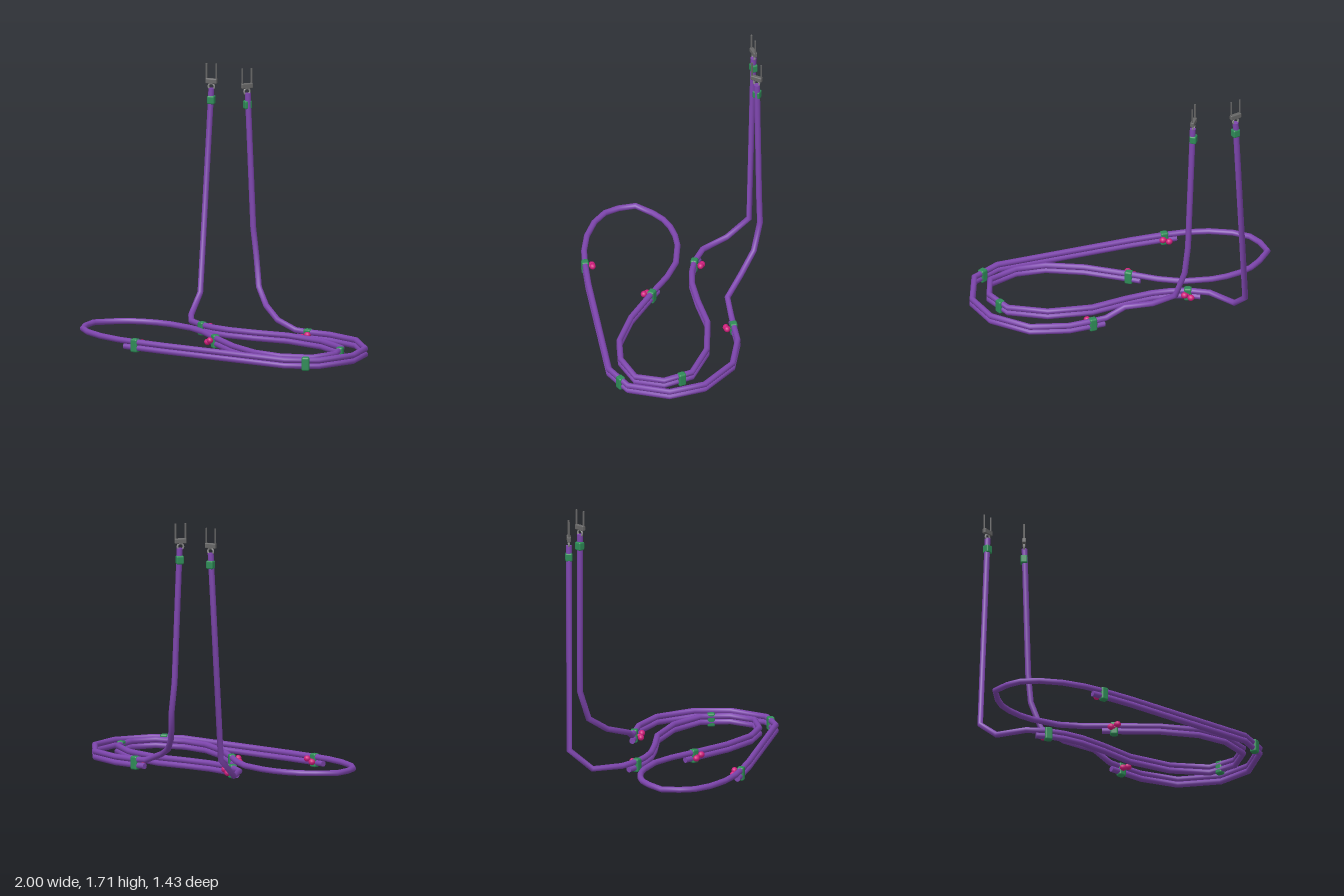
import * as THREE from 'three';
import { RoundedBoxGeometry } from 'three/addons/geometries/RoundedBoxGeometry.js';

const mat = (name, color) => {
  const m = new THREE.MeshStandardMaterial({ color });
  m.name = name;
  return m;
};

// Polyline whose samples land exactly on its corner points
class Polyline extends THREE.Curve {
  constructor(points) {
    super();
    this.points = points;
  }
  getPoint(t, target = new THREE.Vector3()) {
    const n = this.points.length - 1;
    const i = Math.min(Math.floor(t * n + 1e-6), n - 1);
    return target.lerpVectors(this.points[i], this.points[i + 1], t * n - i);
  }
  getPointAt(u, target) { return this.getPoint(u, target); }
  getTangentAt(u, target = new THREE.Vector3()) {
    const p = this.points, n = p.length - 1, i = Math.round(u * n);
    target.set(0, 0, 0);
    if (i > 0) target.add(p[i].clone().sub(p[i - 1]).normalize());
    if (i < n) target.add(p[i + 1].clone().sub(p[i]).normalize());
    return target.normalize();
  }
}

const R = 0.0195, UPPER = 0.067, LOWER = 0.03;

// Ground plan of the rope, split where the doubled runs begin and end [x, z]
const innerRun = [[-0.265, -0.245], [-0.17, -0.19], [-0.05, -0.145], [0.13, -0.112], [0.37, -0.085],
  [0.64, 0.03], [0.83, 0.21], [0.845, 0.41], [0.74, 0.565], [0.53, 0.585], [0.34, 0.52],
  [0.14, 0.36], [-0.055, 0.135]];
const loop = [[-0.18, -0.02], [-0.3, -0.13], [-0.47, -0.21], [-0.57, -0.234], [-0.67, -0.24],
  [-0.76, -0.228], [-0.85, -0.19], [-0.965, -0.115], [-0.982, 0], [-0.968, 0.1], [-0.9, 0.2],
  [-0.78, 0.3], [-0.64, 0.375]];
const outerRun = [[-0.51, 0.42], [-0.3, 0.48], [0.6, 0.695], [0.81, 0.645], [0.97, 0.42],
  [0.98, 0.18], [0.84, -0.07], [0.62, -0.195], [0.46, -0.23]];
const at = (plan, y) => plan.map(([x, z]) => new THREE.Vector3(x, y, z));
const vec = (list) => list.map((p) => new THREE.Vector3(...p));

export function createModel() {
  const model = new THREE.Group();
  model.name = 'ropeHarness';
  const purple = mat('purple rope', 0x7d45ad);
  const green = mat('green clip', 0x2e8b57);
  const pink = mat('pink knob', 0xd01c7c);
  const grey = mat('grey metal', 0x666666);
  const steel = mat('light steel', 0x8a8a8a);

  const add = (parent, name, geo, material, x = 0, y = 0, z = 0) => {
    const m = new THREE.Mesh(geo, material);
    m.name = name;
    m.position.set(x, y, z);
    parent.add(m);
    return m;
  };

  // Rope with closed flat ends
  const rope = (name, points) => {
    const curve = new Polyline(points);
    add(model, name, new THREE.TubeGeometry(curve, points.length - 1, R, 12), purple);
    [[0, -1], [1, 1]].forEach(([u, s]) => {
      const p = curve.getPointAt(u);
      const cap = add(model, name + 'End', new THREE.CircleGeometry(R, 12), purple, p.x, p.y, p.z);
      cap.lookAt(p.clone().addScaledVector(curve.getTangentAt(u), s));
    });
  };

  rope('mainRope', [
    ...vec([[-0.345, 1.545, -0.69], [-0.42, 0.19, -0.69], [-0.435, UPPER, -0.54], [-0.37, UPPER, -0.345]]),
    ...at([...innerRun, ...loop, ...outerRun], UPPER),
    ...vec([[0.37, 0.072, -0.25], [0.24, 0.125, -0.275], [0.115, 0.185, -0.42], [0.025, 0.28, -0.545],
      [-0.01, 0.47, -0.602], [-0.033, 0.66, -0.605], [-0.07, 1.545, -0.605]]),
  ]);
  rope('innerLowerRope', at([[-0.325, -0.3], ...innerRun, [-0.105, 0.075]], LOWER));
  rope('outerLowerRope', at([[-0.59, 0.393], ...outerRun, [0.38, -0.247]], LOWER));

  // Clips that hold the upper and lower rope together: x, z, heading, knob side (0 = none)
  const clips = [
    [-0.265, -0.245, -0.6, -1], [0.46, -0.23, -0.2, 1], [-0.055, 0.135, -0.87, 1],
    [-0.51, 0.42, -0.27, -1], [0.842, 0.285, -1.5, 0], [0.73, 0.667, 0.23, 0],
  ];
  clips.forEach(([x, z, heading, side]) => {
    const clip = new THREE.Group();
    clip.name = 'ropeClip';
    clip.position.set(x, 0.045, z);
    clip.rotation.y = heading;
    model.add(clip);
    add(clip, 'clipBody', new RoundedBoxGeometry(0.052, 0.09, 0.047, 2, 0.012), green);
    if (!side) return;
    // Wing knob: short stem and two lobes
    const stem = add(clip, 'knobStem', new THREE.CylinderGeometry(0.01, 0.01, 0.03, 10), pink, 0, 0.003, side * 0.03);
    stem.rotation.x = Math.PI / 2;
    [-1, 1].forEach((s) => {
      const lobe = add(clip, 'knobLobe', new THREE.SphereGeometry(0.022, 12, 8), pink,
        s * 0.021, 0.004 + s * 0.009, side * 0.047);
      lobe.scale.set(1.05, 0.95, 0.95);
    });
  });

  // Hanging ends: collar, ring and two-pronged fork
  [[-0.345, -0.69, 0], [-0.07, -0.605, 0.72]].forEach(([x, z, turn], i) => {
    const end = new THREE.Group();
    end.name = i ? 'leftFork' : 'rightFork';
    end.position.set(x - (i ? 0.006 : 0), 0, z);
    end.rotation.y = turn;
    model.add(end);
    add(end, 'collar', new RoundedBoxGeometry(0.05, 0.056, 0.046, 2, 0.01), green, i ? 0.004 : 0, 1.468, 0);
    add(end, 'ring', new THREE.TorusGeometry(0.02, 0.006, 8, 20), steel, 0, 1.555, 0);
    add(end, 'forkBase', new RoundedBoxGeometry(0.078, 0.034, 0.026, 2, 0.006), grey, 0, 1.592, 0);
    [-1, 1].forEach((s) =>
      add(end, 'prong', new THREE.CylinderGeometry(0.006, 0.006, 0.11, 8), grey, s * 0.033, 1.652, 0));
  });

  return model;
}
